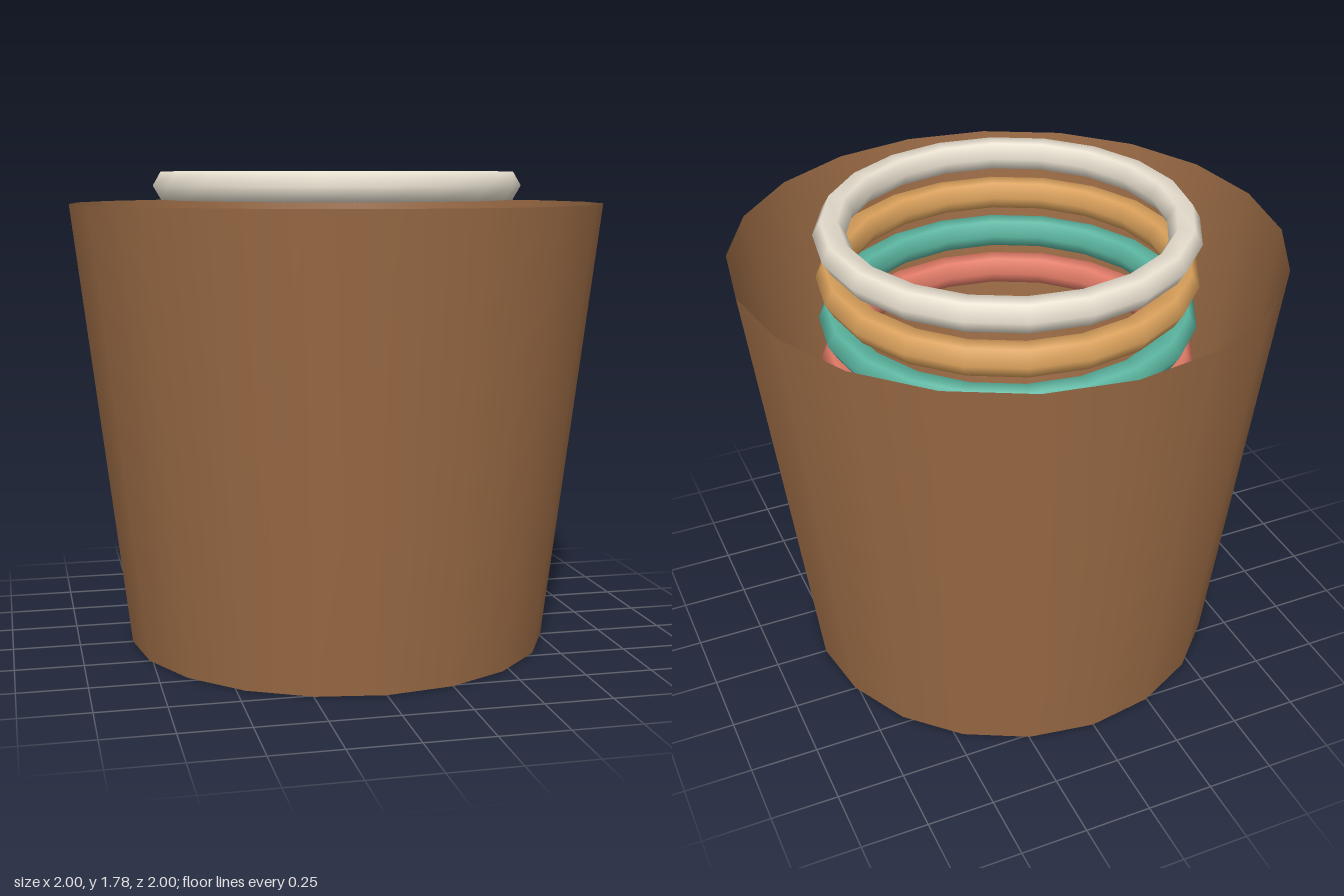
import * as THREE from 'three';

const SIDES = 20;
const HEIGHT = 1.667;

function part(name, geometry, color, side = THREE.FrontSide) {
  const mesh = new THREE.Mesh(geometry, new THREE.MeshStandardMaterial({ color, side }));
  mesh.name = name;
  return mesh;
}

export function createModel() {
  const model = new THREE.Group();
  model.name = 'ringBucket';

  // Open tapered wall, thin and seen from both sides
  const wall = part('bucketWall',
    new THREE.CylinderGeometry(1, 0.8, HEIGHT, SIDES, 1, true), 0x9b6b45, THREE.DoubleSide);
  wall.position.y = HEIGHT / 2;
  model.add(wall);

  // Dark floor disc just above the lower rim
  const floor = part('bucketFloor',
    new THREE.CircleGeometry(0.8, SIDES).rotateX(-Math.PI / 2), 0x2b3f38, THREE.DoubleSide);
  floor.position.y = 0.017;
  model.add(floor);

  // Evenly spaced rings, listed from the top down
  const rings = new THREE.Group();
  rings.name = 'rings';
  const colors = { whiteRing: 0xe8e0d0, goldRing: 0xd9a05b, tealRing: 0x5bb5a0, redRing: 0xe07a66 };
  const ringGeometry = new THREE.TorusGeometry(0.633, 0.06, 6, SIDES).rotateX(Math.PI / 2);
  Object.entries(colors).forEach(([name, color], i) => {
    const ring = part(name, ringGeometry, color);
    ring.position.y = 1.733 - i * 0.167;
    rings.add(ring);
  });
  model.add(rings);

  return model;
}
